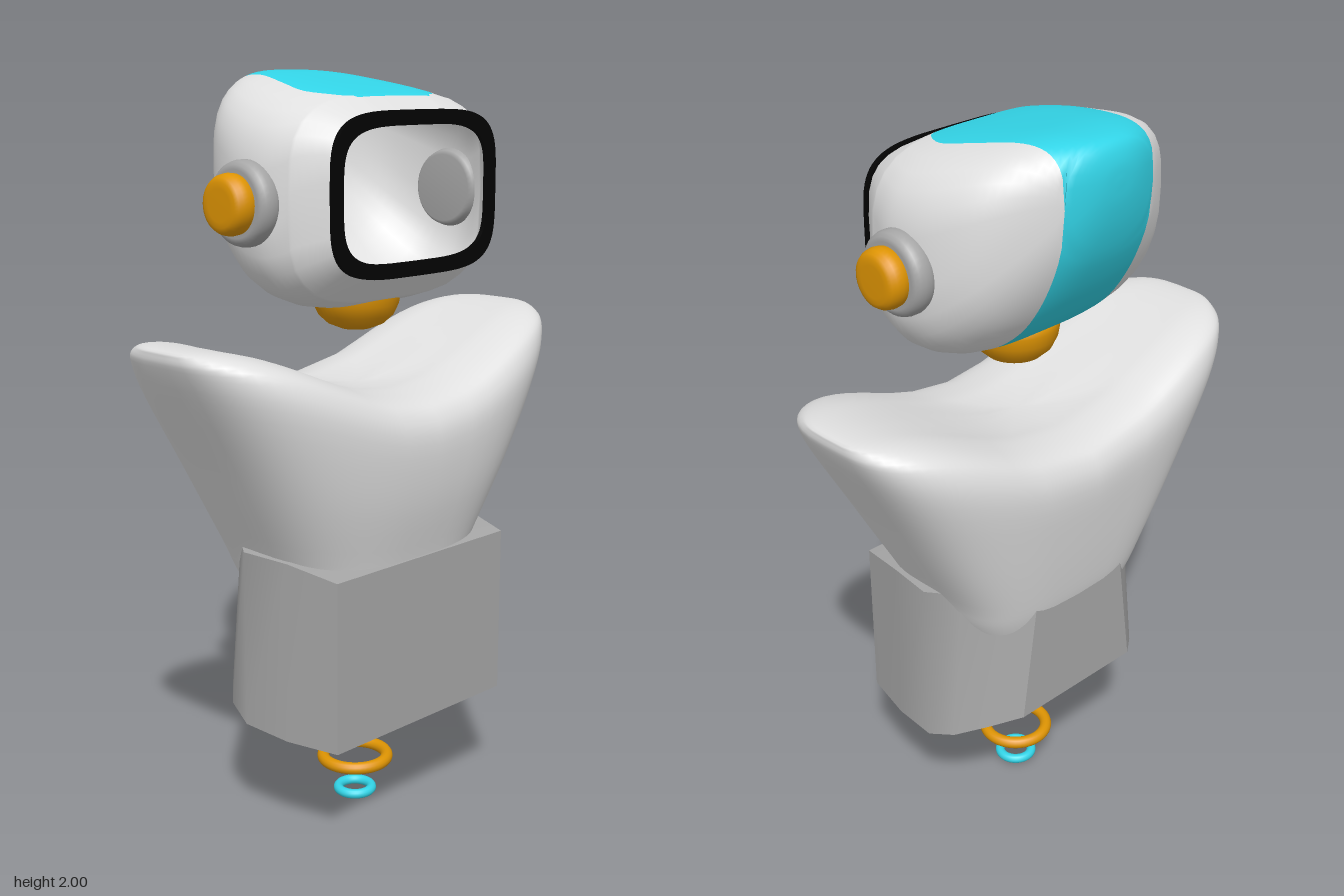
import * as THREE from 'three';
import { mergeVertices } from 'three/addons/utils/BufferGeometryUtils.js';

const mat = (name, color, side = THREE.FrontSide) =>
  Object.assign(new THREE.MeshStandardMaterial({ color, side }), { name });

// Smoothly subdivide rows of numbers
function smoothRows(rows, sub) {
  const n = rows[0].length;
  const curve = new THREE.CubicInterpolant(
    Float32Array.from(rows.keys()), Float32Array.from(rows.flat()), n, new Float32Array(n));
  const out = [];
  for (let i = 0; i <= (rows.length - 1) * sub; i++) out.push(Array.from(curve.evaluate(i / sub)));
  return out;
}

// Superellipse point on the unit square
const power = (v, n) => Math.sign(v) * Math.abs(v) ** (2 / n);
const squircle = (t, n) => [power(Math.cos(t), n), power(Math.sin(t), n)];

// Skin closed rings; pick(i, j) chooses the material index of each quad
function loft(rings, pick = () => 0) {
  const count = rings[0].length, lists = [[], []];
  for (let i = 0; i < rings.length - 1; i++) {
    for (let j = 0; j < count; j++) {
      const k = (j + 1) % count, a = i * count + j, b = i * count + k;
      lists[pick(i, j)].push(a, a + count, b, b, a + count, b + count);
    }
  }
  let g = new THREE.BufferGeometry();
  g.setAttribute('position', new THREE.Float32BufferAttribute(rings.flat(2), 3));
  g.setIndex(lists.flat());
  g.addGroup(0, lists[0].length, 0);
  if (lists[1].length) g.addGroup(lists[0].length, lists[1].length, 1);
  g = mergeVertices(g, 1e-4);
  g.computeVertexNormals();
  return g;
}

const lathe = (pts, seg = 40) =>
  new THREE.LatheGeometry(pts.map(p => new THREE.Vector2(...p)), seg);

// Open-fronted helmet shell with a stripe running over the top, back and underside
function helmetGeometry() {
  const SUB = 4, N = 12;
  // z, half width, bottom, top, squareness, half width of top stripe
  const rows = smoothRows([
    [0.235, 0.288, 1.505, 1.895, 4.2, 0.12],
    [0.155, 0.346, 1.437, 1.937, 3.5, 0.13],
    [0.13, 0.358, 1.424, 1.946, 3.4, 0.17],
    [0.05, 0.379, 1.405, 1.963, 3.2, 0.21],
    [-0.05, 0.372, 1.425, 1.98, 3.1, 0.19],
    [-0.15, 0.332, 1.495, 1.995, 3.0, 0.16],
    [-0.22, 0.272, 1.58, 2.0, 2.9, 0.15],
    [-0.28, 0.185, 1.685, 1.996, 2.7, 0.15],
    [-0.31, 0.118, 1.765, 1.982, 2.5, 0.15],
    [-0.326, 0.058, 1.84, 1.945, 2.2, 0.15],
    [-0.33, 0, 1.9, 1.9, 2, 0.15],
  ], SUB);
  const rings = rows.map(([z, hw, lo, hi, n, w]) => {
    const edge = s => Math.acos(Math.min(1, s / Math.max(hw, 1e-4)) ** (n / 2));
    const tT = edge(w), tB = edge(0.15);
    const stops = [tT, Math.PI - tT, Math.PI + tB, 2 * Math.PI - tB, 2 * Math.PI + tT];
    const ring = [];
    for (let s = 0; s < 4; s++) {
      for (let k = 0; k < N; k++) {
        const [x, y] = squircle(THREE.MathUtils.lerp(stops[s], stops[s + 1], k / N), n);
        ring.push([x * hw, (lo + hi) / 2 + y * (hi - lo) / 2, z]);
      }
    }
    return ring;
  });
  return loft(rings, (i, j) => {
    const s = Math.floor(j / N);
    return (s === 0 && i >= SUB) || (s === 2 && i >= 3 * SUB) ? 1 : 0;
  });
}

// Torso flaring up into two shoulders with a saddle between them, squarer at the back
function torsoGeometry() {
  // height fraction, half width, front z, back z
  const rows = smoothRows([
    [0, 0.25, 0.21, -0.19],
    [0.14, 0.302, 0.245, -0.222],
    [0.275, 0.345, 0.266, -0.243],
    [0.55, 0.46, 0.31, -0.274],
    [0.8, 0.575, 0.328, -0.295],
    [0.92, 0.625, 0.308, -0.28],
    [0.975, 0.638, 0.26, -0.24],
    [1, 0.61, 0.17, -0.165],
    [1, 0.4, 0.1, -0.095],
    [1, 0, 0.01, 0.01],
  ], 4);
  return loft(rows.map(([v, hw, zf, zb]) => {
    const ring = [];
    for (let j = 0; j < 64; j++) {
      const [cx, cz] = squircle(j / 64 * Math.PI * 2, j < 32 ? 3 : 3.9), x = cx * hw;
      const top = 1.19 + 0.165 * Math.sin(Math.PI / 2 * Math.min(1, Math.abs(x) / 0.62)) ** 2;
      ring.push([x, 0.6 + v * (top - 0.6), (zf + zb) / 2 + cz * (zf - zb) / 2]);
    }
    return ring;
  }));
}

// Waist block: flat front and back, curved sides, underside rising to the back
function waistGeometry() {
  // z, lower half width, upper half width, bottom, top
  const rows = [
    [0.27, 0.32, 0.32, 0.3, 0.76],
    [0.12, 0.355, 0.352, 0.3, 0.785],
    [-0.02, 0.372, 0.372, 0.312, 0.79],
    [-0.1, 0.35, 0.312, 0.342, 0.79],
    [-0.17, 0.287, 0.232, 0.375, 0.79],
    [-0.23, 0.21, 0.155, 0.4, 0.79],
  ];
  const lower = s => rows.map(([z, w, , y]) => [s * w, y, z]);
  const upper = s => rows.map(([z, , w, , y]) => [s * w, y, z]);
  const pos = [], index = [];
  const patch = (a, b) => {
    const o = pos.length, n = a.length;
    pos.push(...a, ...b);
    for (let i = o; i < o + n - 1; i++) index.push(i, i + 1, i + n + 1, i, i + n + 1, i + n);
  };
  const [lp, ln, up, un] = [lower(1), lower(-1), upper(1), upper(-1)];
  patch(lp, up);
  patch(lower(-1).reverse(), upper(-1).reverse());
  patch([lp[5], ln[5]], [up[5], un[5]]);
  patch([ln[0], lp[0]], [un[0], up[0]]);
  patch(up, un);
  patch(ln, lp);
  const g = new THREE.BufferGeometry();
  g.setAttribute('position', new THREE.Float32BufferAttribute(pos.flat(), 3));
  g.setIndex(index);
  g.computeVertexNormals();
  return g;
}

// Flat rounded frame around the face opening
function frameGeometry() {
  const loop = (w, h) => Array.from({ length: 72 }, (_, i) => {
    const [x, y] = squircle(i / 72 * Math.PI * 2, 4.2);
    return new THREE.Vector2(x * w, y * h);
  });
  const shape = new THREE.Shape(loop(0.3, 0.205));
  shape.holes.push(new THREE.Path(loop(0.264, 0.168)));
  return new THREE.ExtrudeGeometry(shape, { depth: 0.012, bevelEnabled: false });
}

export function createModel() {
  const shell = mat('shell white', 0xe0e0e0, THREE.DoubleSide);
  const cyan = mat('cyan', 0x33d6e9, THREE.DoubleSide);
  const orange = mat('orange', 0xde9403);
  const gray = mat('gray', 0xa6a6a6);
  const black = mat('black', 0x030303);

  const model = new THREE.Group();
  model.name = 'robot';
  const add = (name, geometry, material, x = 0, y = 0, z = 0, parent = model) => {
    const mesh = new THREE.Mesh(geometry, material);
    mesh.name = name;
    mesh.position.set(x, y, z);
    parent.add(mesh);
    return mesh;
  };

  // Head
  const head = new THREE.Group();
  head.name = 'head';
  model.add(head);
  add('helmet', helmetGeometry(), [shell, cyan], 0, 0, 0, head);
  add('visorFrame', frameGeometry(), black, 0, 1.7, 0.227, head);

  // Ear discs, mirrored
  const pad = lathe([[0, 0.345], [0.09, 0.345], [0.1, 0.355], [0.106, 0.372], [0.106, 0.388],
    [0.102, 0.402], [0.094, 0.411], [0.083, 0.414], [0, 0.414]]);
  const cap = lathe([[0, 0.4], [0.066, 0.4], [0.074, 0.412], [0.076, 0.43], [0.073, 0.446],
    [0.066, 0.457], [0.055, 0.462], [0.04, 0.463], [0, 0.463]]);
  for (const s of [1, -1]) {
    const ear = new THREE.Group();
    ear.name = s > 0 ? 'leftEar' : 'rightEar';
    ear.position.set(0, 1.685, 0.015);
    ear.rotation.z = -s * Math.PI / 2;
    add('earPad', pad, gray, 0, 0, 0, ear);
    add('earCap', cap, orange, 0, 0, 0, ear);
    head.add(ear);
  }

  // Neck and body
  add('neck', lathe([[0, 1.335], [0.04, 1.338], [0.075, 1.352], [0.1, 1.375], [0.114, 1.405],
    [0.119, 1.435], [0.117, 1.45], [0.113, 1.452], [0, 1.452]]), orange, 0, 0, 0.02);
  add('torso', torsoGeometry(), shell);
  add('waist', waistGeometry(), gray);

  // Tail cone and hover rings
  add('tailCone', lathe([[0, 0.187], [0.018, 0.191], [0.036, 0.209], [0.058, 0.247],
    [0.084, 0.3], [0.1, 0.35], [0, 0.36]]), cyan, 0, 0, 0.017).scale.z = 0.64;
  const ring = (name, radius, tube, y, material) =>
    add(name, new THREE.TorusGeometry(radius, tube, 14, 48).rotateX(Math.PI / 2), material, 0, y, 0.018);
  ring('upperHoverRing', 0.09, 0.017, 0.112, orange);
  ring('lowerHoverRing', 0.047, 0.0135, 0.0135, cyan);
  return model;
}
